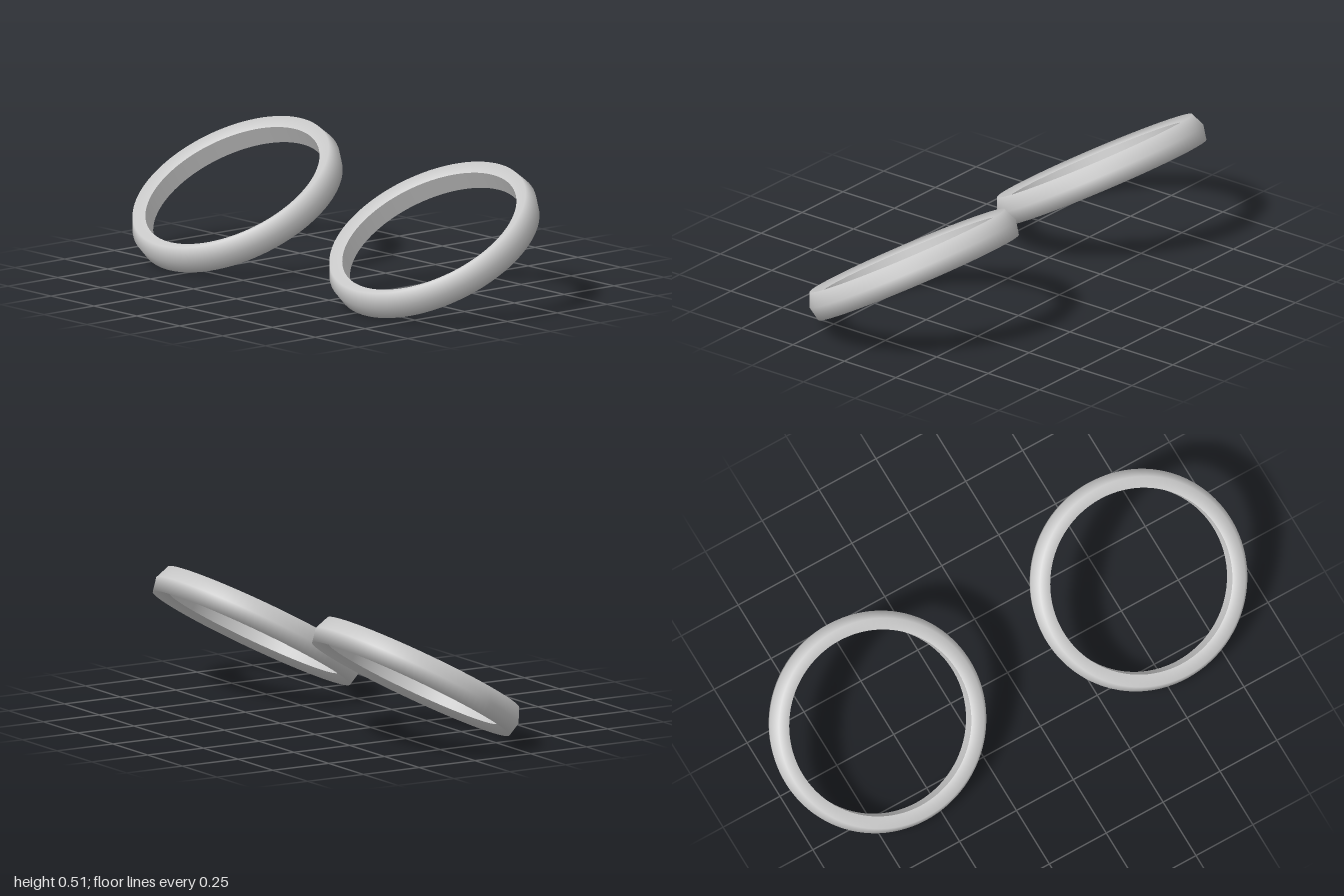
import * as THREE from 'three';

export function createModel() {
  const model = new THREE.Group();
  const grey = new THREE.MeshStandardMaterial({ color: 0xcccccc });
  grey.name = 'light grey';

  const lathe = (points) =>
    new THREE.LatheGeometry(points.map(([r, y]) => new THREE.Vector2(r, y)), 96);

  // Rounded outside, running from the lower inner edge to the upper inner edge
  const outerShell = lathe([
    [0.355, -0.028], [0.415, -0.05], [0.4265, 0.0055], [0.4035, 0.061], [0.358, 0.043],
  ]);
  // Straight inside wall, meeting the shell at sharp edges
  const innerWall = lathe([[0.358, 0.043], [0.355, -0.028]]);

  // Two hoops side by side, both raised toward +x
  for (const [name, z] of [['frontRing', 0.5735], ['backRing', -0.5735]]) {
    const ring = new THREE.Group();
    ring.name = name;
    for (const [part, geometry] of [['outerShell', outerShell], ['innerWall', innerWall]]) {
      const mesh = new THREE.Mesh(geometry, grey);
      mesh.name = part;
      ring.add(mesh);
    }
    ring.position.set(-0.0035, 0.251, z);
    ring.rotation.z = Math.PI / 6;
    model.add(ring);
  }
  return model;
}
